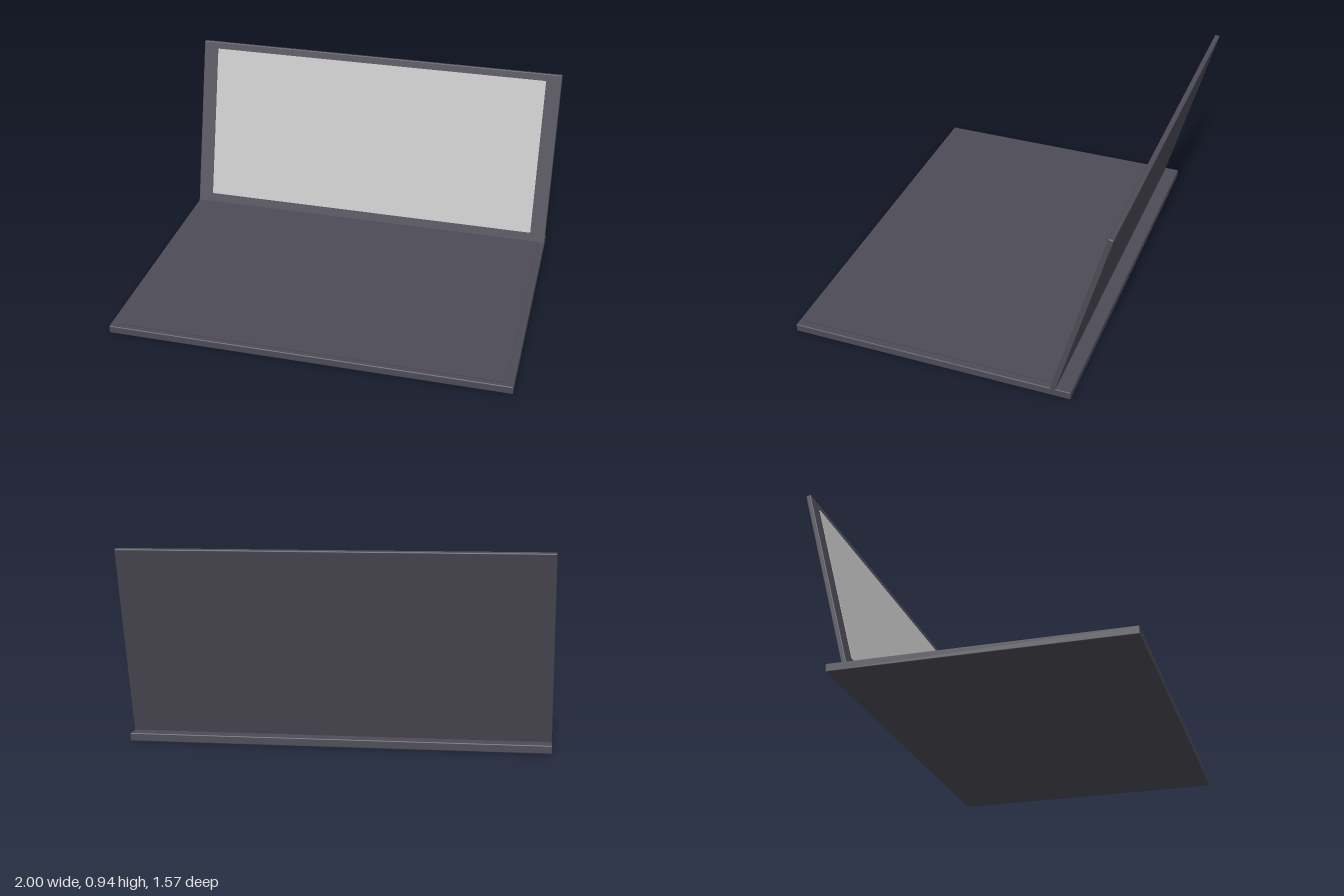
import * as THREE from 'three';
import { RoundedBoxGeometry } from 'three/addons/geometries/RoundedBoxGeometry.js';

export function createModel() {
  const model = new THREE.Group();
  model.name = 'laptop';

  const body = new THREE.MeshStandardMaterial({ color: 0x4d4c57 });
  body.name = 'dark grey casing';
  const glass = new THREE.MeshStandardMaterial({ color: 0xc4c4c4 });
  glass.name = 'light grey screen';

  const add = (parent, name, geometry, material, x, y, z) => {
    const mesh = new THREE.Mesh(geometry, material);
    mesh.name = name;
    mesh.position.set(x, y, z);
    parent.add(mesh);
  };

  // Flat base with slightly softened edges
  add(model, 'base', new RoundedBoxGeometry(2, 0.04, 1.405, 2, 0.005), body, 0, 0.02, 0.0825);

  // Thin raised deck, ending at the hinge
  add(model, 'deck', new THREE.BoxGeometry(1.93, 0.008, 1.285), body, 0, 0.041, 0.1175);

  // Lid leaning back 15 degrees about the hinge
  const lid = new THREE.Group();
  lid.name = 'lid';
  lid.position.set(0, 0.03, -0.531);
  lid.rotation.x = -THREE.MathUtils.degToRad(15);
  model.add(lid);
  add(lid, 'lidShell', new RoundedBoxGeometry(2, 0.938, 0.025, 2, 0.005), body, 0, 0.469, 0);

  // Thin screen plate set on the front of the lid
  add(lid, 'screen', new THREE.BoxGeometry(1.836, 0.841, 0.004), glass, 0, 0.479, 0.0118);

  return model;
}
